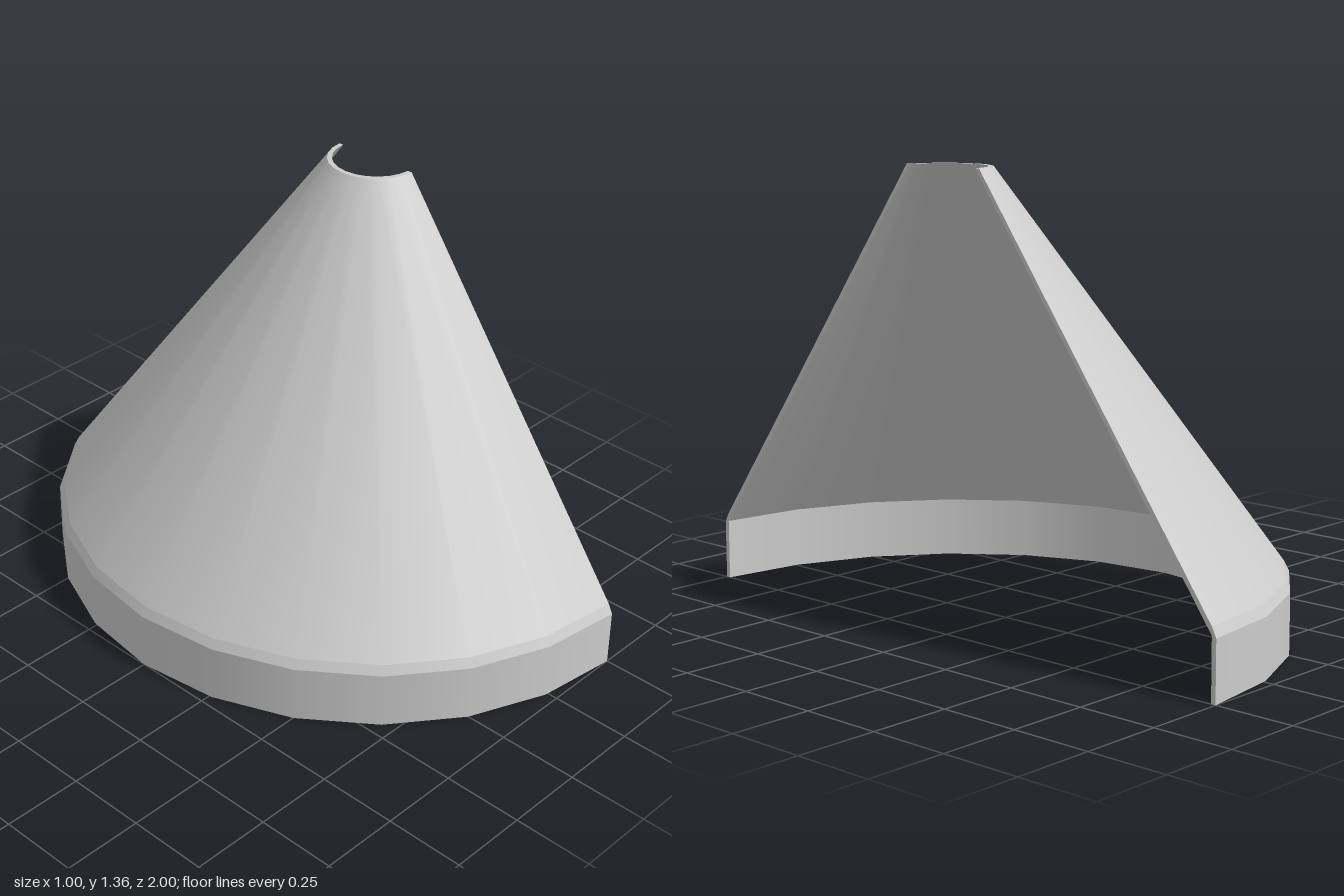
import * as THREE from 'three';

export function createModel() {
  const model = new THREE.Group();
  model.name = 'halfConeShell';
  const material = new THREE.MeshStandardMaterial({ color: 0xcccccc });

  // Closed wall section as [radius, height]: up the outside, down the inside
  const section = [
    ['outerSkirt', 1, 0],
    ['outerBevel', 1, 0.18],
    ['outerCone', 0.985, 0.21],
    ['topRim', 0.145, 1.36],
    ['innerCone', 0.13, 1.36],
    ['innerSkirt', 0.985, 0.185],
    ['bottomRim', 0.985, 0],
  ];

  const add = (name, geometry) => {
    const mesh = new THREE.Mesh(geometry, material);
    mesh.name = name;
    mesh.position.x = 0.5;
    model.add(mesh);
  };

  // Half-turn surfaces, one per section edge so the profile corners stay crisp
  section.forEach(([name, r, y], i) => {
    const [, r2, y2] = section[(i + 1) % section.length];
    const edge = [new THREE.Vector2(r, y), new THREE.Vector2(r2, y2)];
    add(name, new THREE.LatheGeometry(edge, 12, Math.PI, Math.PI));
  });

  // Flat cut faces closing the wall at both ends of the half turn
  for (const side of [1, -1]) {
    const shape = new THREE.Shape(section.map(([, r, y]) => new THREE.Vector2(side * r, y)));
    add(side > 0 ? 'backCutFace' : 'frontCutFace', new THREE.ShapeGeometry(shape).rotateY(Math.PI / 2));
  }

  return model;
}
